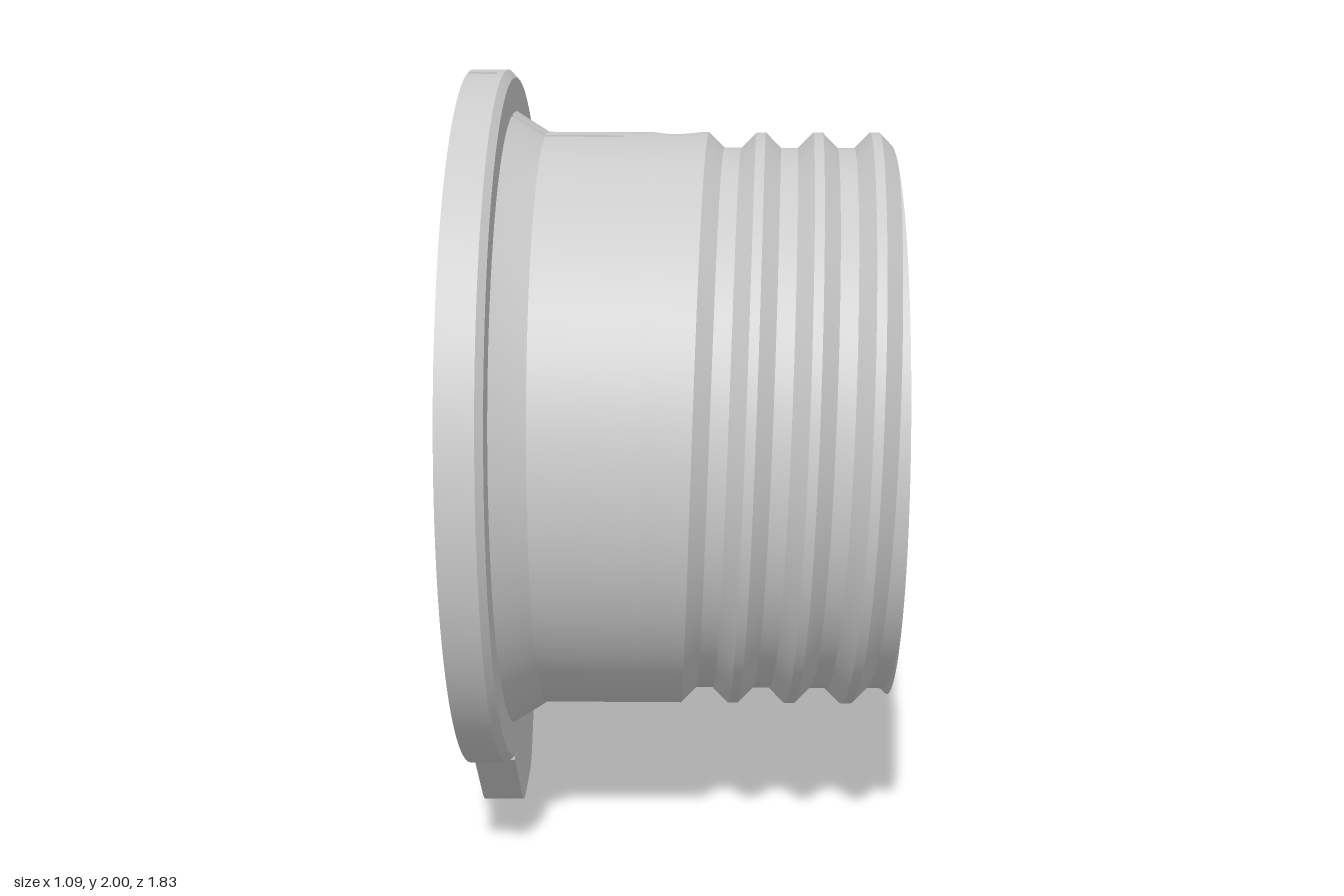
import * as THREE from 'three';
import { toCreasedNormals } from 'three/addons/utils/BufferGeometryUtils.js';

const CY = 1.085, X0 = -0.545, X1 = 0.545;      // axis height, sleeve ends
const R_FLANGE = 0.915, R_BODY = 0.755, R_BORE = 0.632, R_COUNTER = 0.69;
const PITCH = 0.148, THREAD_START = -0.02, THREAD_DEPTH = 0.04;
const KEY_HALF = 0.155, KEY_H = 0.685;          // keyways inside the bore
const TURN = Math.PI * 2;

// Angular columns, as turns from the top towards the back.
// Doubled columns give the walls of the marker slot and of the keyways.
function makeColumns() {
  const slot = 0.0025;
  const keyIn = Math.atan(KEY_HALF / KEY_H) / TURN;
  const keyOut = Math.asin(KEY_HALF / R_BORE) / TURN;
  const cols = [];
  const add = (t, s, k) => cols.push({ t, slot: s, key: k });
  const N = 144;
  for (let i = 0; i <= N; i++) {
    const t = i / N;
    const d = Math.abs(t - Math.round(t * 2) / 2);
    if (d > keyIn - 0.001 && d < keyOut + 0.001) continue;
    add(t, i === 0 || i === N, d < keyIn);
  }
  for (const c of [0, 0.5, 1]) {
    for (const s of [-1, 1]) {
      if (c + s * 0.1 < 0 || c + s * 0.1 > 1) continue;
      add(c + s * keyIn, false, true);
      add(c + s * keyOut, false, false);
    }
  }
  add(slot, true, true);
  add(slot + 1e-5, false, true);
  add(1 - slot - 1e-5, false, true);
  add(1 - slot, true, true);
  return cols.sort((a, b) => a.t - b.t);
}
const COLUMNS = makeColumns();

// Skin through one [x, radius] profile per column, swept around the axis
function sweep(name, profile, material) {
  const pos = [], index = [];
  let n = 0;
  for (const col of COLUMNS) {
    const pts = profile(col);
    n = pts.length;
    const a = col.t * TURN;
    for (const [x, r] of pts) pos.push(x, CY + r * Math.cos(a), -r * Math.sin(a));
  }
  for (let i = 0; i < COLUMNS.length - 1; i++) {
    for (let j = 0; j < n - 1; j++) {
      const a = i * n + j, b = a + 1, c = a + n, d = c + 1;
      index.push(a, b, c, b, d, c);
    }
  }
  const geo = new THREE.BufferGeometry();
  geo.setAttribute('position', new THREE.Float32BufferAttribute(pos, 3));
  geo.setIndex(index);
  const mesh = new THREE.Mesh(toCreasedNormals(geo, 0.35), material);
  mesh.name = name;
  return mesh;
}

// Radius of the threaded part: trapezoid groove on a helix, fading in at its start
function threadRadius(x, t) {
  let cut = 0;
  for (let k = 0; k < 5; k++) {
    const d = Math.abs(x - THREAD_START - PITCH * (t + k));
    const fade = k === 0 ? Math.min(1, t / 0.2) : 1;
    cut = Math.max(cut, fade * THREE.MathUtils.clamp((0.062 - d) / 0.04, 0, 1));
  }
  return R_BODY - THREAD_DEPTH * cut;
}

export function createModel() {
  const group = new THREE.Group();
  const material = new THREE.MeshStandardMaterial({ color: 0xcccccc });

  // Flange rim with chamfer and a short marker notch at the top
  group.add(sweep('flange', ({ slot }) => {
    const r = slot ? R_FLANGE - 0.015 : R_FLANGE;
    return [[X0, r], [-0.47, r], [-0.47, R_FLANGE], [-0.452, R_FLANGE],
      [-0.434, 0.895], [-0.434, 0.805]];
  }, material));

  // Conical neck and plain sleeve with the marker slot
  group.add(sweep('sleeve', ({ slot }) => {
    const s = slot ? 0.02 : 0;
    return [[-0.434, 0.808], [-0.43, 0.805 - s], [-0.35, R_BODY - s],
      [-0.15, R_BODY - s], [-0.15, R_BODY], [-0.09, R_BODY]];
  }, material));

  // Helical thread, edges following the helix
  group.add(sweep('thread', ({ t }) => {
    const xs = [-0.09];
    for (let k = 0; k < 5; k++) {
      for (const o of [-0.062, -0.022, 0.022, 0.062]) {
        xs.push(Math.min(X1, THREAD_START + PITCH * (t + k) + o));
      }
    }
    xs.push(X1);
    return xs.map((x) => [x, threadRadius(x, t)]);
  }, material));

  // End faces, bore with two keyways, and wider mouth at the flange
  group.add(sweep('bore', ({ t, slot, key }) => {
    const keyR = key ? KEY_H / Math.abs(Math.cos(t * TURN)) : 0;
    const r = Math.max(R_BORE, keyR), rm = Math.max(R_COUNTER, keyR);
    return [[X1, threadRadius(X1, t)], [X1, r], [-0.35, r], [-0.435, rm],
      [-0.435, R_COUNTER], [X0, R_COUNTER], [X0, slot ? R_FLANGE - 0.015 : R_FLANGE]];
  }, material));

  // Rounded tab under the flange
  const shape = new THREE.Shape();
  shape.moveTo(-0.33, 0.235);
  shape.lineTo(-0.165, 0.045);
  shape.quadraticCurveTo(-0.125, 0, -0.06, 0);
  shape.lineTo(0.06, 0);
  shape.quadraticCurveTo(0.125, 0, 0.165, 0.045);
  shape.lineTo(0.33, 0.235);
  const half = Math.asin(0.33 / 0.9);
  shape.absarc(0, CY, 0.9, -Math.PI / 2 + half, -Math.PI / 2 - half, true);
  const tabGeo = new THREE.ExtrudeGeometry(shape, { depth: 0.108, bevelEnabled: false, curveSegments: 10 });
  tabGeo.rotateY(Math.PI / 2).translate(X0, 0, 0);
  const tab = new THREE.Mesh(toCreasedNormals(tabGeo, 0.35), material);
  tab.name = 'tab';
  group.add(tab);

  return group;
}
